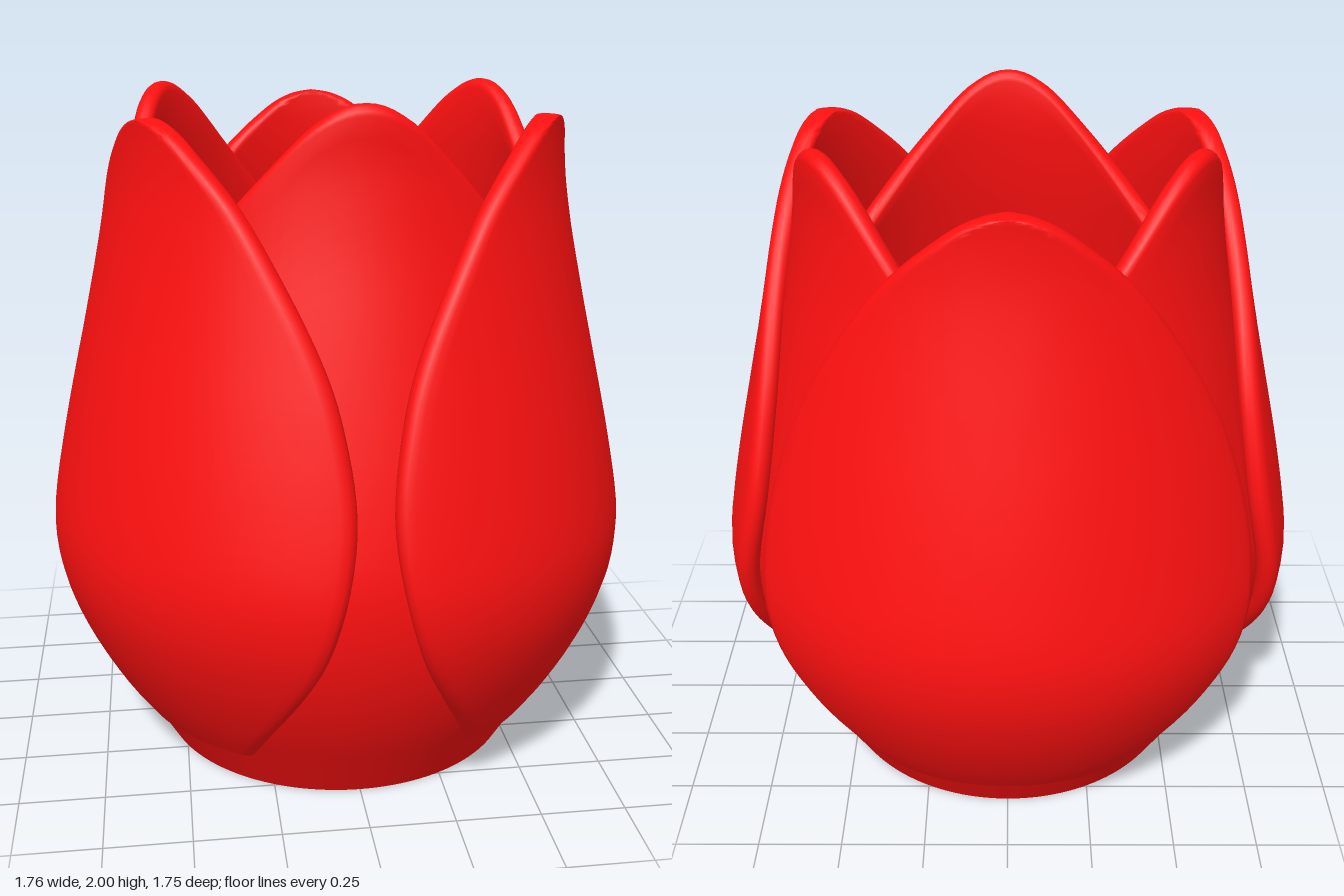
import * as THREE from 'three';
import { toCreasedNormals } from 'three/addons/utils/BufferGeometryUtils.js';

const V = (x, y) => new THREE.Vector2(x, y);
const rad = THREE.MathUtils.degToRad;

// smooth lookup y = f(x) through a few [x, y] points (x ascending)
function lookup(pts) {
  const samples = new THREE.SplineCurve(pts.map(p => V(...p))).getPoints(pts.length * 24);
  return x => {
    let i = 1;
    while (i < samples.length - 1 && samples[i].x < x) i++;
    const a = samples[i - 1], b = samples[i];
    const t = THREE.MathUtils.clamp((x - a.x) / (b.x - a.x || 1), 0, 1);
    return a.y + (b.y - a.y) * t;
  };
}

// radius by height: outer petals and inner cup
const outerRadius = lookup([[0.1, 0.62], [0.14, 0.65], [0.25, 0.725], [0.4, 0.805], [0.55, 0.86], [0.68, 0.88],
  [0.8, 0.873], [1, 0.835], [1.2, 0.79], [1.4, 0.743], [1.6, 0.7], [1.75, 0.675], [1.87, 0.666], [1.96, 0.668]]);
const cupRadius = lookup([[0, 0.555], [0.14, 0.637], [0.25, 0.7], [0.4, 0.765], [0.55, 0.805], [0.68, 0.818],
  [0.8, 0.812], [1, 0.775], [1.2, 0.73], [1.4, 0.684], [1.6, 0.64], [1.75, 0.617], [1.87, 0.607], [2.01, 0.613]]);
// rim height of the cup by degrees away from a petal centre
const rimHeight = lookup([[0, 2], [4, 1.995], [9, 1.972], [16, 1.92], [29, 1.785], [39, 1.67], [50, 1.54], [60, 1.42]]);
// edge of an outer petal: half width in degrees, height
const petalEdge = new THREE.SplineCurve([[31, 0.14], [45, 0.4], [52.5, 0.62], [56.5, 0.93], [54, 1.2], [48.3, 1.4],
  [38.5, 1.6], [28.5, 1.75], [15, 1.88], [7, 1.93], [0, 1.945]].map(p => V(...p)));

// skin a grid of rows of points; rows are closed loops when wrap is true
function skin(rows, wrap) {
  const n = rows[0].length, index = [];
  for (let r = 0; r < rows.length - 1; r++) {
    for (let c = 0; c < (wrap ? n : n - 1); c++) {
      const d = (c + 1) % n;
      const a = r * n + c, b = r * n + d, e = (r + 1) * n + c, f = (r + 1) * n + d;
      index.push(a, b, f, a, f, e);
    }
  }
  const geo = new THREE.BufferGeometry();
  geo.setAttribute('position', new THREE.Float32BufferAttribute(rows.flat(2), 3));
  geo.setIndex(index);
  return toCreasedNormals(geo, 0.75);
}

const polar = (r, y, a) => [r * Math.sin(a), y, r * Math.cos(a)];

// cup with three petal lobes, thick wall, rounded rim and a floor
function cupGeometry() {
  const cols = 144, wall = 0.06, half = wall / 2, floor = 0.15, steps = 36;
  const section = angle => {
    const off = Math.abs(((angle + 60) % 120) - 60);
    const top = rimHeight(off) - half, pts = [[0, 0]];
    for (let i = 0; i <= steps; i++) {
      const y = top * i / steps;
      pts.push([cupRadius(y), y]);
    }
    const mid = cupRadius(top) - half;
    for (let i = 1; i < 8; i++) {
      const t = Math.PI * i / 8;
      pts.push([mid + half * Math.cos(t), top + half * Math.sin(t)]);
    }
    for (let i = 0; i <= steps; i++) {
      const y = top + (floor - top) * i / steps;
      pts.push([cupRadius(y) - wall, y]);
    }
    pts.push([0, floor]);
    return pts;
  };
  const columns = [];
  for (let c = 0; c < cols; c++) {
    const angle = 360 * c / cols;
    columns.push(section(angle).map(([r, y]) => polar(r, y, rad(angle))));
  }
  // one loop around the axis per profile point
  return skin(columns[0].map((_, i) => columns.map(col => col[i])), true);
}

// thick curved petal with rounded edges, centred on +z
function petalGeometry() {
  const thick = 0.066, half = thick / 2, rowsN = 64, across = 28;
  const rows = [];
  const addRow = (w, y, flat) => {
    const R = outerRadius(y) - half, width = Math.max(rad(w) * R, 1e-4);
    const row = [];
    for (let i = 0; i < across * 2; i++) {
      // outside face from one edge to the other, then back along the inside
      const u = -Math.cos(Math.PI * i / across);
      const k = 1 - Math.min(width * (1 - Math.abs(u)) / half, 1);
      const bulge = flat ? 0 : half * Math.sqrt(1 - k * k);
      row.push(polar(R + (i <= across ? bulge : -bulge), y, u * width / R));
    }
    rows.push(row);
  };
  addRow(31, 0.14, true);
  for (let i = 0; i <= rowsN; i++) {
    const p = petalEdge.getPoint(i / rowsN);
    addRow(p.x, p.y, false);
  }
  return skin(rows, true);
}

export function createModel() {
  const group = new THREE.Group();
  group.name = 'tulipCup';
  const red = new THREE.MeshStandardMaterial({ color: 0xff1010 });

  const cup = new THREE.Mesh(cupGeometry(), red);
  cup.name = 'innerPetalCup';
  group.add(cup);

  const petal = petalGeometry();
  for (const [name, angle] of [['leftOuterPetal', 60], ['rightOuterPetal', -60], ['backOuterPetal', 180]]) {
    const mesh = new THREE.Mesh(petal, red);
    mesh.name = name;
    mesh.rotation.y = rad(angle);
    group.add(mesh);
  }
  return group;
}
